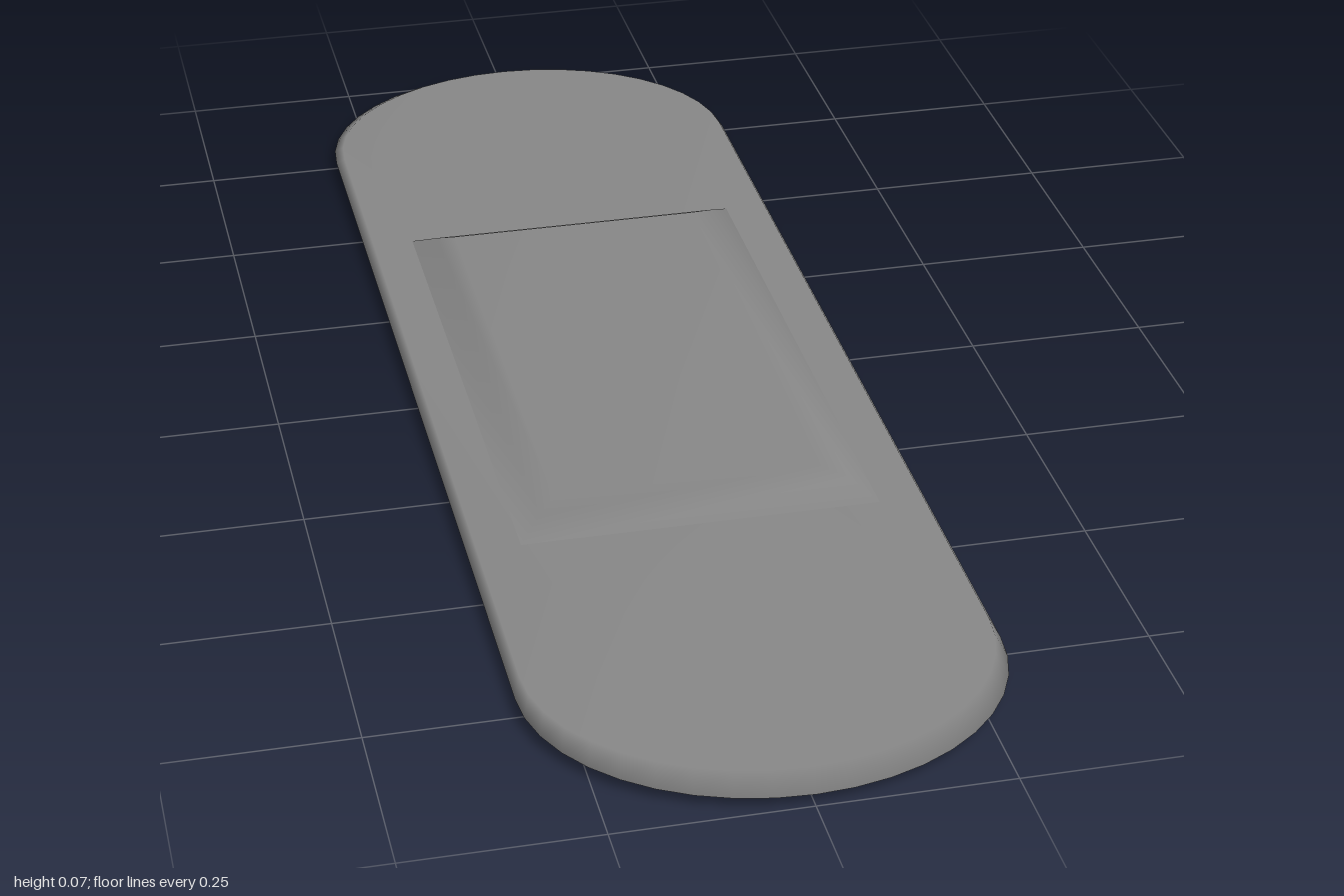
import * as THREE from 'three';

const material = new THREE.MeshStandardMaterial({ color: 0x878787 });

// Skin stacked rings (counter-clockwise from above, bottom to top) and close
// the top, and the bottom if asked. Shared vertices give soft, smooth edges.
function loft(rings, closeBottom) {
  const n = rings[0].length, pos = rings.flat(2), index = [];
  for (let k = 0; k < rings.length - 1; k++) {
    for (let i = 0; i < n; i++) {
      const a = k * n + i, b = k * n + (i + 1) % n;
      index.push(a, b, b + n, a, b + n, a + n);
    }
  }
  const cap = (k, up) => {
    const c = pos.length / 3;
    pos.push(0, rings[k][0][1], 0);
    for (let i = 0; i < n; i++) {
      const a = k * n + i, b = k * n + (i + 1) % n;
      index.push(c, up ? a : b, up ? b : a);
    }
  };
  cap(rings.length - 1, true);
  if (closeBottom) cap(0, false);
  const g = new THREE.BufferGeometry();
  g.setAttribute('position', new THREE.Float32BufferAttribute(pos, 3));
  g.setIndex(index);
  g.computeVertexNormals();
  return g;
}

// Outline of two slightly flattened half rounds joined by straight sides
function stadium(y, scale) {
  const RX = 0.309, RZ = 0.265, N = 20, pts = [];
  for (const end of [0, 1]) {
    for (let i = 0; i <= N; i++) {
      const t = Math.PI * (end + i / N);
      const z = -Math.sin(t) * RZ + (end ? 1 - RZ : RZ - 1);
      pts.push([Math.cos(t) * RX * scale, y, z * scale]);
    }
  }
  return pts;
}

// Rectangle with its own left, right and end limits
const rect = (y, x0, x1, z0, z1) => [[x1, y, z0], [x0, y, z0], [x0, y, z1], [x1, y, z1]];

export function createModel() {
  const group = new THREE.Group();
  const add = (name, geometry) => {
    const mesh = new THREE.Mesh(geometry, material);
    mesh.name = name;
    group.add(mesh);
  };

  // Long strip with rounded ends and a pointed rim
  add('strip', loft([stadium(0, 0.968), stadium(0.017, 1), stadium(0.034, 0.968)], true));

  // Raised pad with sloping sides, open where it sits on the strip
  add('pad', loft([
    rect(0.032, -0.244, 0.243, -0.428, 0.428),
    rect(0.054, -0.209, 0.209, -0.389, 0.389),
    rect(0.066, -0.186, 0.172, -0.365, 0.368),
  ], false));

  return group;
}
